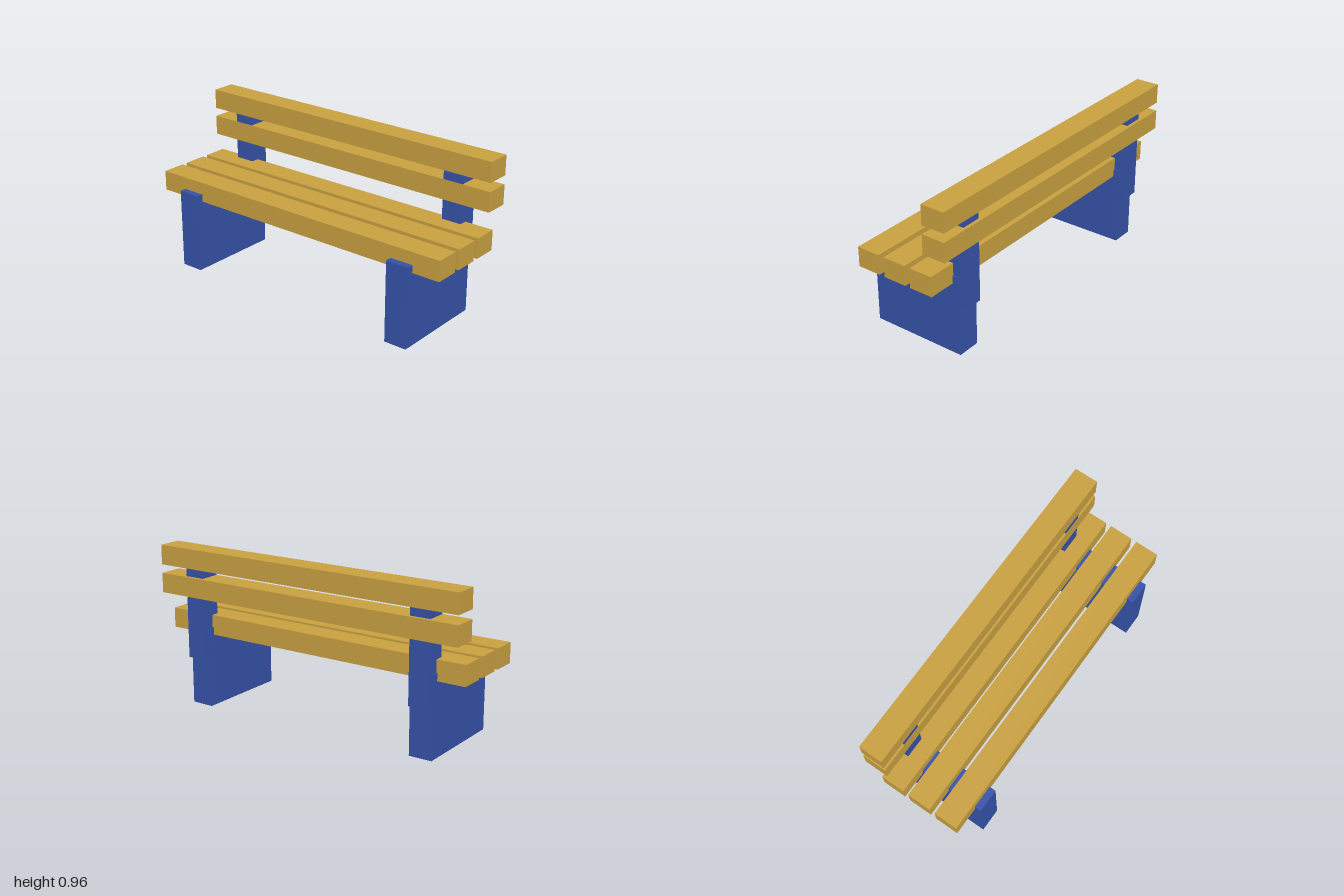
import * as THREE from 'three';

export function createModel() {
  const bench = new THREE.Group();
  bench.name = 'bench';

  const wood = new THREE.MeshStandardMaterial({ color: 0xc8a040 });
  wood.name = 'ochre wood';
  const blue = new THREE.MeshStandardMaterial({ color: 0x3652a8 });
  blue.name = 'blue paint';

  // Box given by its lower and upper limits on each axis
  function addBox(name, material, [x0, x1], [y0, y1], [z0, z1]) {
    const mesh = new THREE.Mesh(new THREE.BoxGeometry(x1 - x0, y1 - y0, z1 - z0), material);
    mesh.position.set((x0 + x1) / 2, (y0 + y1) / 2, (z0 + z1) / 2);
    mesh.name = name;
    bench.add(mesh);
  }

  // Seat planks, front to back
  [0.207, 0.027, -0.152].forEach((z, i) =>
    addBox(`seatPlank${i + 1}`, wood, [-1, 1], [0.437, 0.557], [z - 0.0725, z + 0.0725]));

  // Backrest planks, lower and upper
  [0.732, 0.902].forEach((y, i) =>
    addBox(`backPlank${i + 1}`, wood, [-1, 1], [y - 0.059, y + 0.059], [-0.32, -0.175]));

  // Slab legs and backrest posts; the posts sit just behind the plank faces
  for (const [side, s] of [['left', 1], ['right', -1]]) {
    const span = (a, b) => [s * a, s * b].sort((p, q) => p - q);
    addBox(`${side}Leg`, blue, span(0.692, 0.832), [0, 0.483], [-0.265, 0.32]);
    addBox(`${side}BackPost`, blue, span(0.703, 0.826), [0.295, 0.922], [-0.3, -0.177]);
  }

  return bench;
}
